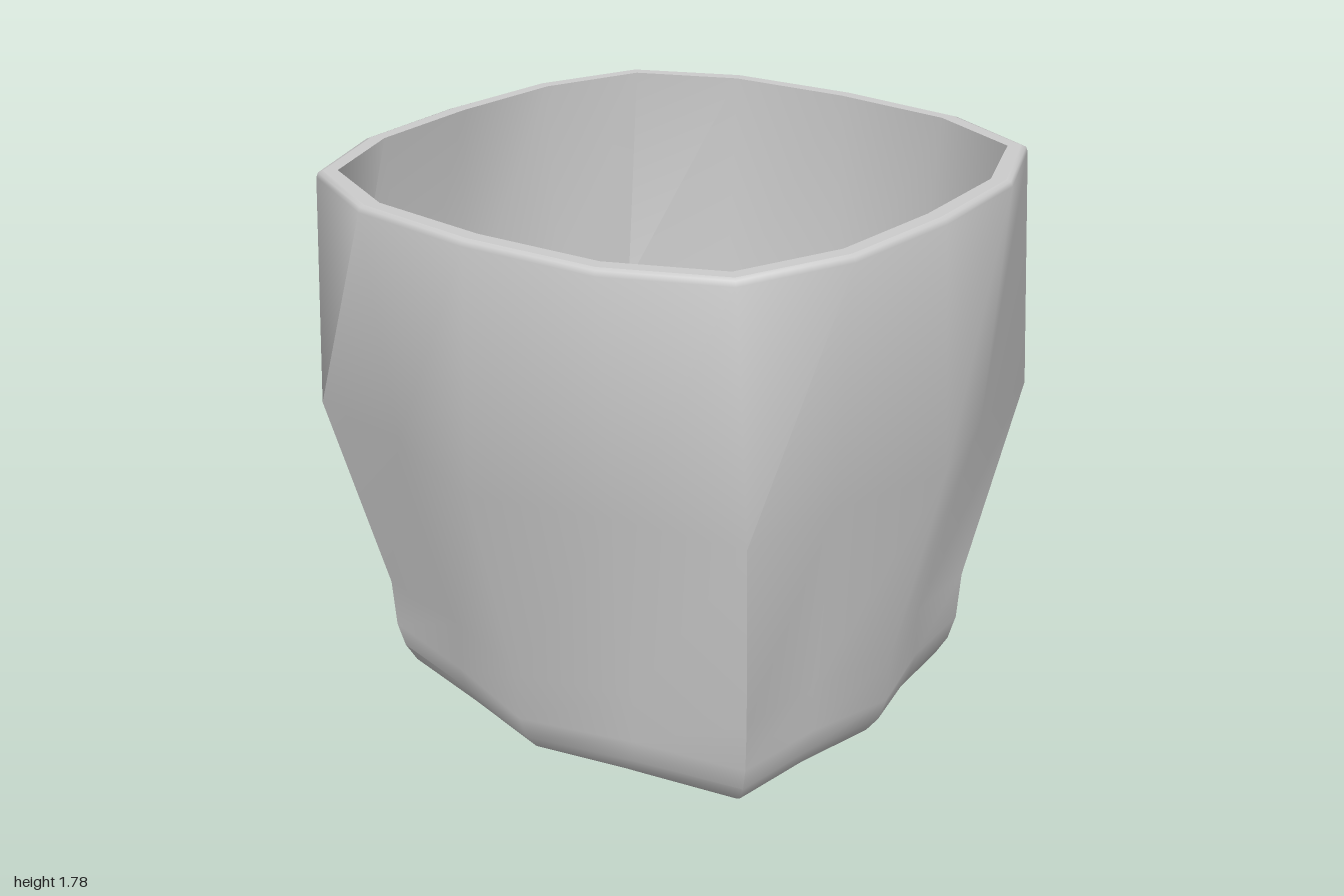
import * as THREE from 'three';
import { toCreasedNormals } from 'three/addons/utils/BufferGeometryUtils.js';

// One cross-section: five [x, z] points of a quadrant, from the side (+x)
// through the corner to the front (+z), mirrored to a 16-sided loop.
function ring(y, [a, b, c, d, e]) {
  const mx = ([x, z]) => [-x, z];
  const mz = ([x, z]) => [x, -z];
  const half = [a, b, c, d, e, mx(d), mx(c), mx(b), mx(a)];
  const loop = [...half, ...[b, c, d].map((p) => mx(mz(p))), ...[e, d, c, b].map(mz)];
  // the mouth dips very slightly toward -x
  return loop.map(([x, z]) => [x, y + (y > 1.6 ? x * 0.01 : 0), z]);
}

const scale = (quad, s) => quad.map(([x, z]) => [x * s, z * s]);

const inset = (quad, t) => quad.map(([x, z]) => {
  const s = 1 - t / Math.hypot(x, z);
  return [x * s, z * s];
});

// Skin consecutive rings; only strong corners stay sharp.
function skin(rings) {
  const n = 16, index = [];
  for (let r = 0; r < rings.length - 1; r++) {
    for (let i = 0; i < n; i++) {
      const j = (i + 1) % n, a = r * n + i, b = r * n + j;
      index.push(a, a + n, b, b, a + n, b + n);
    }
  }
  const g = new THREE.BufferGeometry();
  g.setAttribute('position', new THREE.Float32BufferAttribute(rings.flat(2), 3));
  g.setIndex(index);
  return toCreasedNormals(g, 1.1);
}

export function createModel() {
  const group = new THREE.Group();
  group.name = 'cup';
  const material = new THREE.MeshStandardMaterial({ color: 0xcccccc, side: THREE.DoubleSide });
  const add = (name, rings) => {
    const mesh = new THREE.Mesh(skin(rings), material);
    mesh.name = name;
    group.add(mesh);
  };

  // Outlines at the mouth, the widest belt, the foot and the underside; below
  // the mouth the points between ridges and corners are pinched inward
  const mouth = [[0.955, 0], [0.918, 0.44], [0.758, 0.785], [0.415, 0.928], [0, 0.957]];
  const belt = [[0.975, 0], [0.835, 0.42], [0.757, 0.832], [0.4, 0.88], [0, 1]];
  const foot = [[0.8, 0], [0.68, 0.36], [0.605, 0.73], [0.295, 0.752], [0, 0.84]];
  const base = [[0.79, 0], [0.68, 0.36], [0.597, 0.722], [0.295, 0.752], [0, 0.83]];
  const under = [[0.6, 0], [0.56, 0.3], [0.5, 0.6], [0.27, 0.63], [0, 0.65]];
  const blend = (t) => base.map(([x, z], i) => [
    x + (under[i][0] - x) * t, z + (under[i][1] - z) * t,
  ]);

  // Underside, rounded foot, pinched lower wall, upper wall and rounded lip
  const lipOuter = inset(mouth, 0.02);
  add('outerWall', [
    ring(0, scale(under, 0)), ring(0, under),
    ring(0.008, blend(0.65)), ring(0.035, blend(0.38)), ring(0.09, blend(0.15)),
    ring(0.17, base), ring(0.33, foot), ring(1, belt),
    ring(1.755, mouth), ring(1.77, inset(mouth, 0.006)), ring(1.775, lipOuter),
  ]);

  // Flat rim
  const lipInner = inset(mouth, 0.065);
  add('rim', [ring(1.775, lipOuter), ring(1.775, lipInner)]);

  // Inner wall at even thickness, running into a rounded floor
  const bowl = inset(foot, 0.055);
  add('innerWall', [
    ring(1.775, lipInner), ring(1, inset(belt, 0.06)), ring(0.36, bowl),
    ring(0.21, scale(bowl, 0.96)), ring(0.12, scale(bowl, 0.84)),
    ring(0.08, scale(bowl, 0.66)), ring(0.06, scale(bowl, 0.35)), ring(0.055, scale(bowl, 0)),
  ]);
  return group;
}
